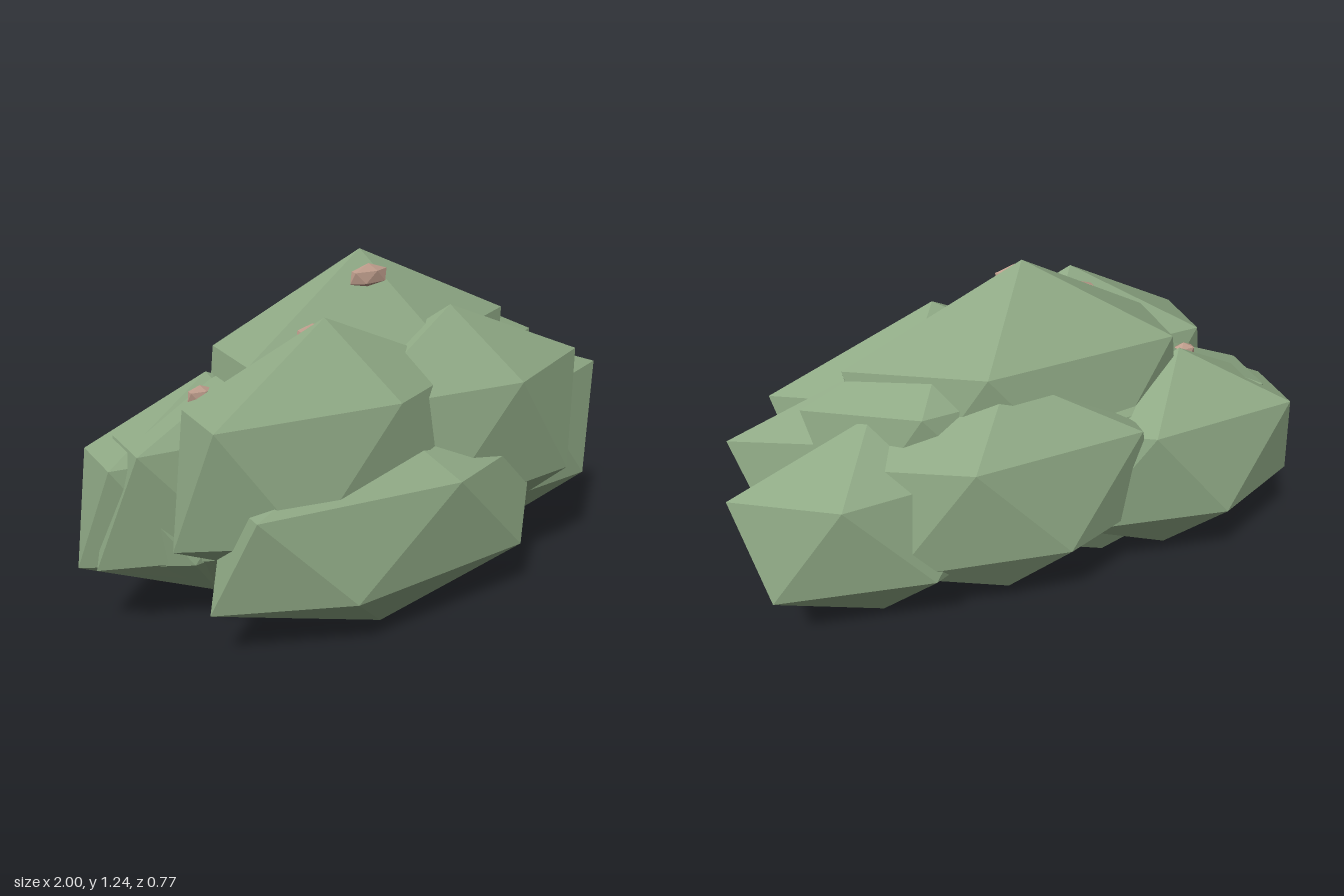
import * as THREE from 'three';
import { ConvexGeometry } from 'three/addons/geometries/ConvexGeometry.js';

const mat = (name, color) => {
  const m = new THREE.MeshStandardMaterial({ color, flatShading: true });
  m.name = name;
  return m;
};

// Icosahedron standing on a point: two poles and two staggered rings of five
function icoGeometry() {
  const pts = [new THREE.Vector3(0, 1, 0), new THREE.Vector3(0, -1, 0)];
  const r = 2 / Math.sqrt(5), h = 1 / Math.sqrt(5);
  for (let i = 0; i < 10; i++) {
    const a = (i * Math.PI) / 5;
    pts.push(new THREE.Vector3(r * Math.cos(a), i % 2 ? -h : h, r * Math.sin(a)));
  }
  return new ConvexGeometry(pts);
}

export function createModel() {
  const model = new THREE.Group();
  model.name = 'bush';
  const leaf = mat('leafGreen', 0x8fa985);
  const bark = mat('barkBrown', 0x927a6b);
  const budTan = mat('budTan', 0xbd9c8b);
  const ico = icoGeometry();

  const blob = (name, material, [x, y, z, rx, ry, rz]) => {
    const m = new THREE.Mesh(ico, material);
    m.name = name;
    m.position.set(x, y, z);
    m.scale.set(rx, ry, rz);
    model.add(m);
  };

  // Leaf clumps: centre, then radii
  const clumps = {
    frontLowClump: [-0.076, 0.41, 0.205, 0.7, 0.38, 0.217],
    topClump: [0, 0.75, -0.058, 0.66, 0.52, 0.245],
    frontRightClump: [-0.246, 0.667, 0.145, 0.605, 0.46, 0.221],
    frontLeftClump: [0.246, 0.64, 0.115, 0.62, 0.447, 0.225],
    farRightClump: [-0.523, 0.51, -0.15, 0.533, 0.403, 0.212],
    farLeftClump: [0.533, 0.481, -0.16, 0.52, 0.387, 0.212],
    midLeftClump: [0.34, 0.55, 0.045, 0.69, 0.43, 0.215],
    midRightClump: [-0.305, 0.538, -0.09, 0.73, 0.453, 0.2],
    backClump: [0.1, 0.538, -0.215, 0.59, 0.42, 0.2],
    upperLeftClump: [0.24, 0.68, -0.068, 0.55, 0.44, 0.22],
  };
  for (const name in clumps) blob(name, leaf, clumps[name]);

  // Branch tips showing through the leaves
  const buds = [
    [0, 1.19, 0, 0.077, 0.043, 0.025],
    [-0.255, 1.06, 0.085, 0.066, 0.034, 0.022],
    [-0.57, 0.86, -0.09, 0.05, 0.034, 0.022],
  ];
  buds.forEach((b) => blob('branchTip', budTan, b));

  // Fan of stems rising from the base
  const count = 13;
  for (let i = 0; i < count; i++) {
    const t = i / (count - 1), s = t * 2 - 1;
    const x = 0.04 + 0.13 * s;
    const y = 0.07 + 0.1 * (t - 0.62) ** 2;
    const z = -0.012;
    const path = new THREE.CatmullRomCurve3([
      new THREE.Vector3(x, y, z),
      new THREE.Vector3(x + 0.02 * s, y + 0.07, z),
      new THREE.Vector3(x + 0.12 * s, y + 0.25, z - 0.02),
      new THREE.Vector3(x + 0.3 * s, y + 0.5, z - 0.04),
    ]);
    const stem = new THREE.Mesh(new THREE.TubeGeometry(path, 5, 0.04, 8), bark);
    stem.name = 'stem';
    // Closed cut end
    const cap = new THREE.Mesh(new THREE.CircleGeometry(0.04, 8), bark);
    cap.name = 'stemEnd';
    cap.position.set(x, y, z);
    cap.rotation.x = Math.PI / 2;
    model.add(stem, cap);
  }
  return model;
}
